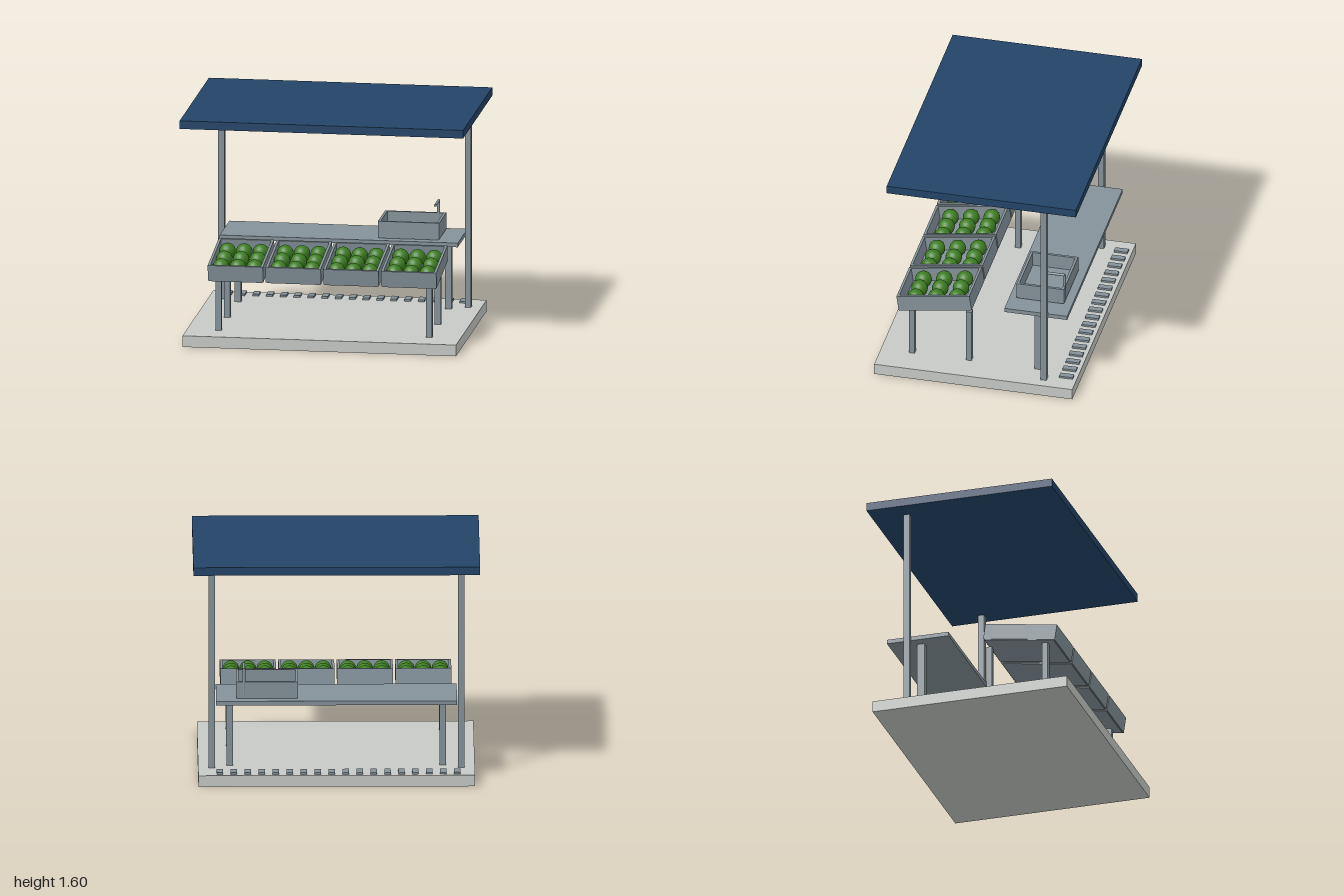
import * as THREE from 'three';

const steel = new THREE.MeshStandardMaterial({ name: 'steel grey', color: 0x84929a });
const concrete = new THREE.MeshStandardMaterial({ name: 'concrete', color: 0xc6c9c5 });
const navy = new THREE.MeshStandardMaterial({ name: 'navy roof', color: 0x234468 });
const green = new THREE.MeshStandardMaterial({ name: 'melon green', color: 0x3d7d22 });

function add(parent, name, geometry, material, x, y, z) {
  const mesh = new THREE.Mesh(geometry, material);
  mesh.name = name;
  mesh.position.set(x, y, z);
  parent.add(mesh);
  return mesh;
}

const box = (parent, name, material, w, h, d, x, y, z) =>
  add(parent, name, new THREE.BoxGeometry(w, h, d), material, x, y, z);

// Upright standing on the slab, mirrored left and right
function uprights(parent, name, w, d, x, top, z) {
  for (const side of [-1, 1]) {
    box(parent, name, steel, w, top - 0.08, d, side * x, (top + 0.08) / 2, z);
  }
}

// Open box centred on its own origin: floor plus four walls
function openBox(name, w, h, d, t) {
  const group = new THREE.Group();
  group.name = name;
  const lift = 0.006;
  box(group, 'floor', steel, w - 0.014, t, d - 0.014, 0, -h / 2 + t / 2, 0);
  for (const s of [-1, 1]) {
    box(group, 'endWall', steel, w, h - lift, t, 0, lift / 2, s * (d - t) / 2);
    box(group, 'sideWall', steel, t, h - lift, d - 2 * t, s * (w - t) / 2, lift / 2, 0);
  }
  return group;
}

export function createModel() {
  const model = new THREE.Group();
  model.name = 'marketStall';

  // Base slab, roof and roof posts
  box(model, 'baseSlab', concrete, 1.93, 0.08, 1.42, 0, 0.04, 0.018);
  box(model, 'roof', navy, 2, 0.058, 1.356, 0, 1.566, -0.048);
  uprights(model, 'roofPost', 0.044, 0.044, 0.87, 1.52, -0.468);

  // Display stand legs
  uprights(model, 'frontLeg', 0.043, 0.04, 0.743, 0.455, 0.505);
  uprights(model, 'backLeg', 0.043, 0.04, 0.743, 0.48, 0.097);

  // Tilted crates, each with three rows of three melons
  const melon = new THREE.SphereGeometry(0.058, 20, 14);
  for (let i = 0; i < 4; i++) {
    const crate = openBox('crate', 0.39, 0.12, 0.528, 0.018);
    crate.position.set((i - 1.5) * 0.4075, 0.541, 0.336);
    crate.rotation.x = 0.15;
    for (let row = -1; row <= 1; row++) {
      for (let col = -1; col <= 1; col++) {
        add(crate, 'melon', melon, green, col * 0.118, 0.009, row * 0.15);
      }
    }
    model.add(crate);
  }

  // Work table
  box(model, 'tableTop', steel, 1.68, 0.03, 0.45, 0, 0.585, -0.401);
  uprights(model, 'tableLeg', 0.045, 0.052, 0.743, 0.57, -0.402);

  // Basin with its tap
  const basin = openBox('basin', 0.433, 0.122, 0.34, 0.018);
  basin.position.set(0.484, 0.664, -0.4);
  model.add(basin);
  add(model, 'tapRiser', new THREE.CylinderGeometry(0.011, 0.011, 0.2, 16), steel, 0.646, 0.71, -0.561);
  const spout = add(model, 'tapSpout', new THREE.CylinderGeometry(0.0095, 0.0095, 0.16, 16), steel, 0.646, 0.811, -0.483);
  spout.rotation.x = Math.PI / 2;

  // Row of drain bars along the back of the slab
  for (let i = 0; i < 18; i++) {
    box(model, 'drainBar', steel, 0.045, 0.014, 0.097, -0.842 + i * 0.0974, 0.087, -0.616);
  }

  return model;
}
